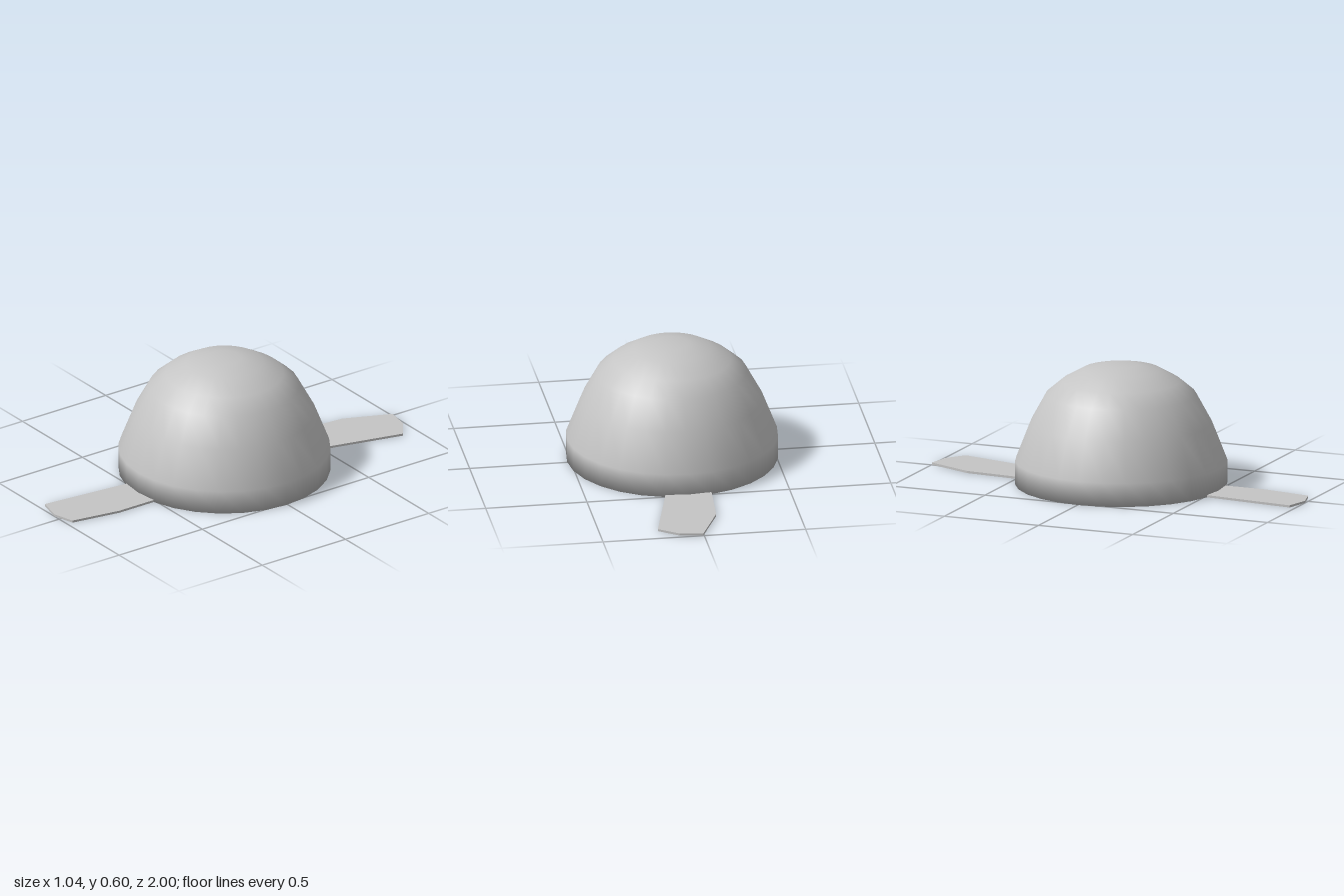
import * as THREE from 'three';

const grey = new THREE.MeshStandardMaterial({ color: 0xc4c4c4 });
grey.name = 'plain grey';

// Flat plate cut from an outline of [x, z] points, resting on the ground
function makeTab(name, outline) {
  const shape = new THREE.Shape(outline.map(([x, z]) => new THREE.Vector2(x, -z)));
  const geometry = new THREE.ExtrudeGeometry(shape, { depth: 0.011, bevelEnabled: false });
  geometry.rotateX(-Math.PI / 2);
  const tab = new THREE.Mesh(geometry, grey);
  tab.name = name;
  return tab;
}

export function createModel() {
  const model = new THREE.Group();
  model.name = 'domeWithTabs';

  // Dome with a closed base, smooth all the way round the rim
  const profile = [
    [0, 0], [0.518, 0], [0.518, 0.117], [0.443, 0.309], [0.366, 0.45],
    [0.289, 0.515], [0.189, 0.571], [0.083, 0.595], [0, 0.595],
  ].map(([r, y]) => new THREE.Vector2(r, y));
  const dome = new THREE.Mesh(new THREE.LatheGeometry(profile, 28), grey);
  dome.name = 'dome';
  dome.position.z = 0.007;
  model.add(dome);

  // Two bent tabs on the ground, joined to the rim
  model.add(makeTab('frontTab', [
    [-0.115, 0.51], [-0.16, 0.97], [-0.04, 1], [0.07, 0.97], [0.113, 0.72], [0.113, 0.51],
  ]));
  model.add(makeTab('backTab', [
    [0.113, -0.5], [0.215, -0.91], [0.12, -0.98], [0.005, -1], [-0.095, -0.77], [-0.115, -0.5],
  ]));
  return model;
}
